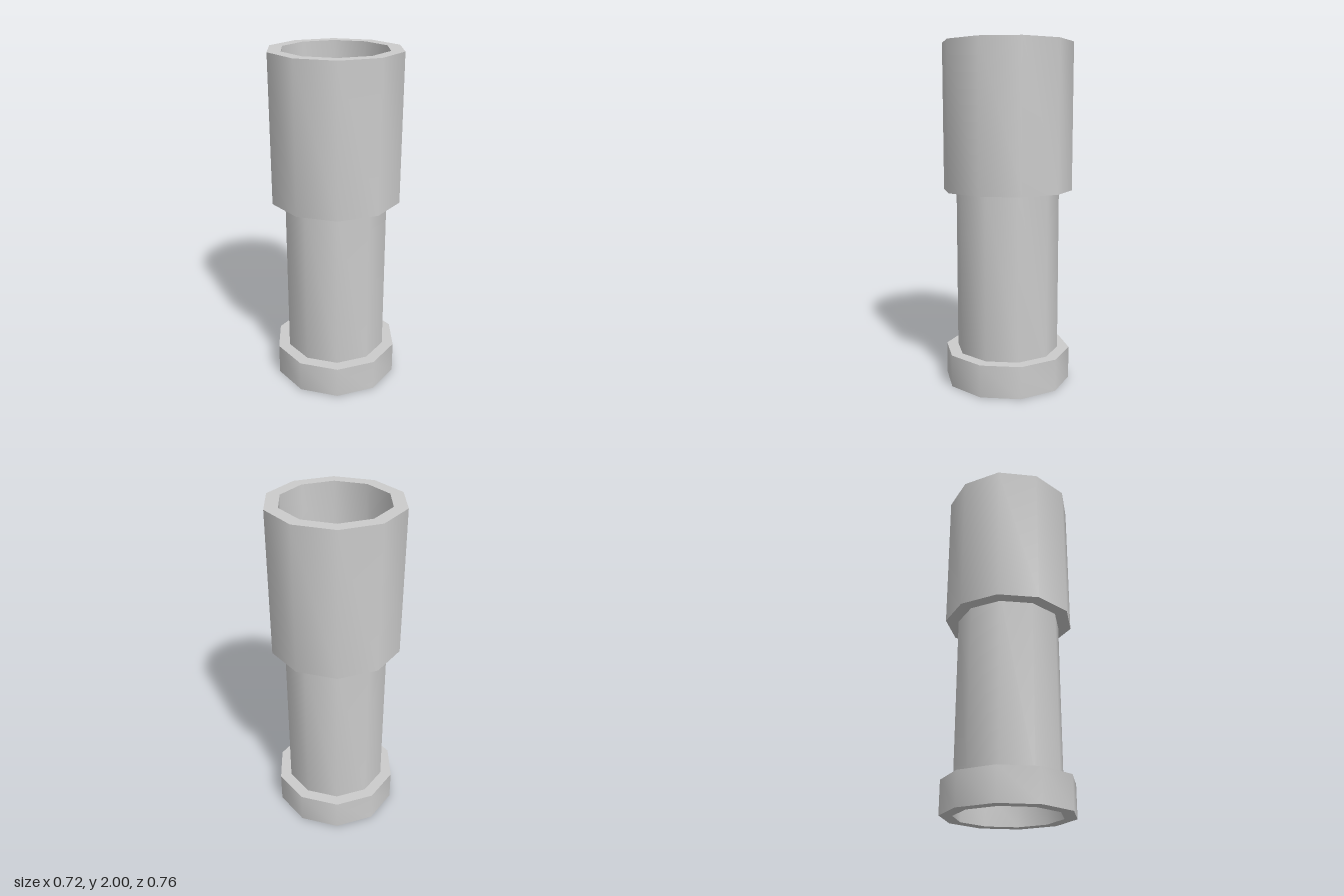
import * as THREE from 'three';
import { toCreasedNormals } from 'three/addons/utils/BufferGeometryUtils.js';

const SIDES = 10;
const BORE = 0.305;
const material = new THREE.MeshStandardMaterial({ color: 0xcccccc });

// Ten-sided solid turned from [radius, height] points, smooth around, sharp at rims
function turned(name, profile) {
  const points = profile.map(([r, y]) => new THREE.Vector2(r, y));
  const mesh = new THREE.Mesh(toCreasedNormals(new THREE.LatheGeometry(points, SIDES), 0.8), material);
  mesh.name = name;
  return mesh;
}

// Hollow sleeve with square rims
function sleeve(name, outer, inner, bottom, top) {
  return turned(name, [[outer, bottom], [outer, top], [inner, top], [inner, bottom], [outer, bottom]]);
}

export function createModel() {
  const group = new THREE.Group();
  group.name = 'steppedTube';

  // Base collar and wide upper sleeve, both open
  group.add(sleeve('baseCollar', 0.375, BORE - 0.002, 0, 0.19));
  group.add(sleeve('upperSleeve', 0.381, BORE, 1.15, 2));

  // Shaft: hollow from below, its ends set inside the two sleeves
  const shaftTop = 1.2;
  group.add(turned('shaft', [
    [BORE, 0.15], [BORE, shaftTop], [0, shaftTop - 0.002],
  ].slice(0, 2)));
  group.add(turned('shaftBore', [
    [0, shaftTop - 0.06], [0.235, shaftTop - 0.06], [0.235, 0.15], [BORE, 0.15],
  ]));

  // Closed shaft top, shaded softly into the wall
  const capGeometry = new THREE.CircleGeometry(BORE, SIDES).rotateX(-Math.PI / 2).rotateY(Math.PI / 2);
  const { position, normal } = capGeometry.attributes;
  const n = new THREE.Vector3();
  for (let i = 0; i < position.count; i++) {
    n.set(position.getX(i), 0.12, position.getZ(i)).normalize();
    normal.setXYZ(i, n.x, n.y, n.z);
  }
  const cap = new THREE.Mesh(capGeometry, material);
  cap.name = 'shaftCap';
  cap.position.y = shaftTop;
  group.add(cap);

  return group;
}
